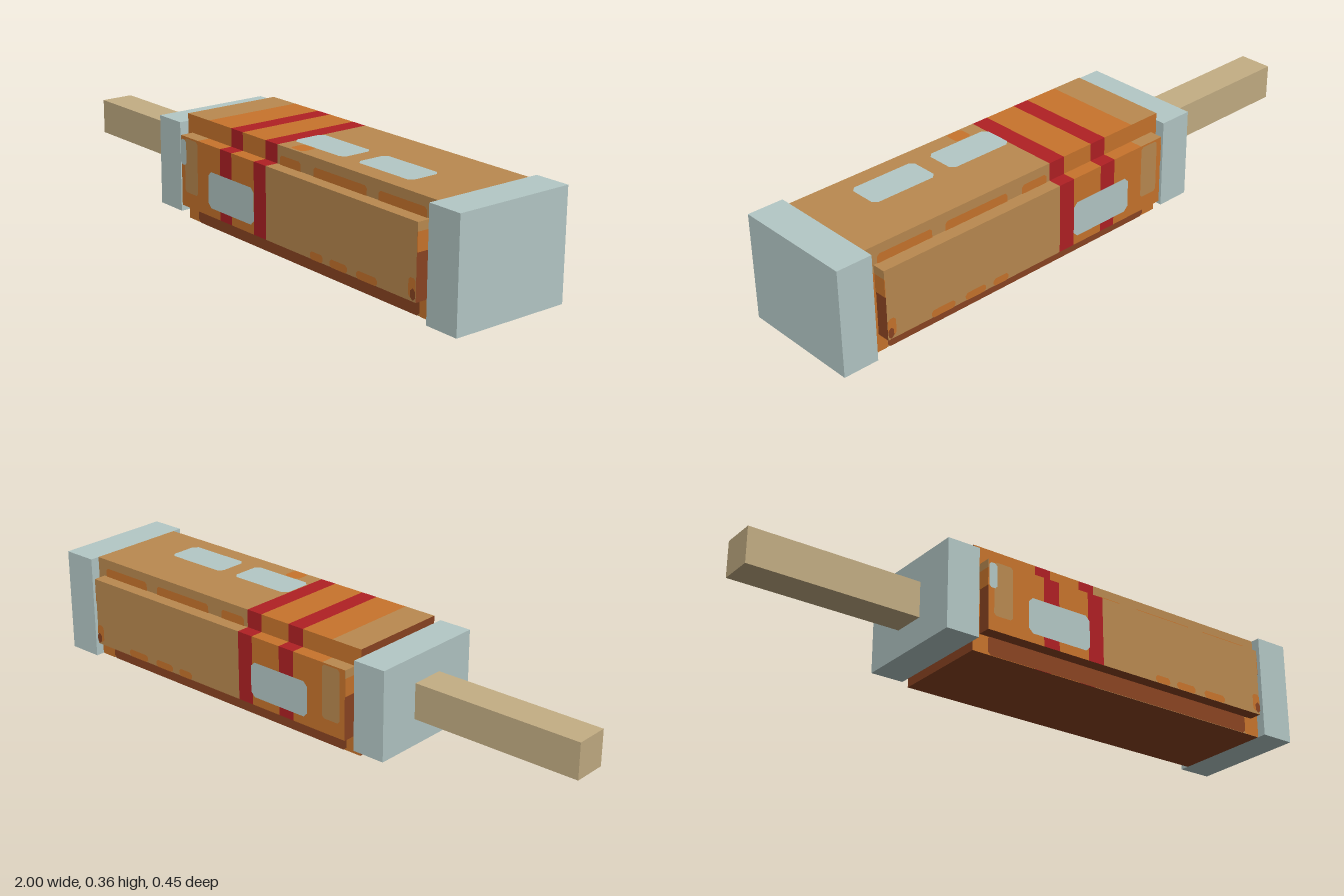
import * as THREE from 'three';

const mat = (name, hex) => {
  const m = new THREE.MeshStandardMaterial({ color: hex });
  m.name = name;
  return m;
};

export function createModel() {
  const tan = mat('tan', 0xba8a50);
  const orange = mat('orange', 0xc8742c);
  const red = mat('red', 0xb02024);
  const brown = mat('brown', 0x8b4422);
  const metal = mat('pale metal', 0xb4c8c6);
  const wood = mat('handle wood', 0xc4ae84);

  const model = new THREE.Group();
  model.name = 'boxedTool';

  // Box given by its limits on each axis
  const box = (parent, name, material, [x0, x1], [y0, y1], [z0, z1]) => {
    const mesh = new THREE.Mesh(new THREE.BoxGeometry(x1 - x0, y1 - y0, z1 - z0), material);
    mesh.position.set((x0 + x1) / 2, (y0 + y1) / 2, (z0 + z1) / 2);
    mesh.name = name;
    parent.add(mesh);
    return mesh;
  };

  // Flat painted patch with clipped corners, facing +z
  const patchGeometry = (w, h, c) => {
    const a = w / 2, b = h / 2;
    const pts = [[-a + c, -b], [a - c, -b], [a, -b + c], [a, b - c], [a - c, b], [-a + c, b], [-a, b - c], [-a, -b + c]];
    return new THREE.ShapeGeometry(new THREE.Shape(pts.map(p => new THREE.Vector2(...p))));
  };
  // side is 1 for the front and -1 for the back
  const sidePatch = (name, material, side, x0, x1, y0, y1, z, c = 0.008) => {
    const mesh = new THREE.Mesh(patchGeometry(x1 - x0, y1 - y0, c), material);
    mesh.position.set((x0 + x1) / 2, (y0 + y1) / 2, side * z);
    if (side < 0) mesh.rotation.y = Math.PI;
    mesh.name = name;
    model.add(mesh);
  };
  const topPatch = (name, material, x0, x1, z0, z1, c) => {
    const mesh = new THREE.Mesh(patchGeometry(x1 - x0, z1 - z0, c), material);
    mesh.position.set((x0 + x1) / 2, 0.357, (z0 + z1) / 2);
    mesh.rotation.x = -Math.PI / 2;
    mesh.name = name;
    model.add(mesh);
  };

  // Handle and end caps
  box(model, 'handle', wood, [-1, -0.41], [0.12, 0.24], [-0.058, 0.058]);
  box(model, 'rearCap', metal, [-0.41, -0.295], [0.03, 0.33], [-0.207, 0.207]);
  box(model, 'frontCap', metal, [0.88, 1], [0, 0.355], [-0.207, 0.207]);

  // Body and side panels are cut into colour bands along x: [start, end, top, sides]
  const bands = [
    [-0.295, -0.18, tan, orange],
    [-0.18, -0.06, orange, orange],
    [-0.06, 0, red, red],
    [0, 0.115, orange, orange],
    [0.115, 0.175, red, red],
    [0.175, 0.88, tan, tan],
  ];
  const banded = (name, [xa, xb], y, z) => {
    const group = new THREE.Group();
    group.name = name;
    for (const [s, e, top, side] of bands) {
      const x = [Math.max(s, xa), Math.min(e, xb)];
      box(group, name + 'Band', [brown, brown, top, brown, side, side], x, y, z);
    }
    model.add(group);
  };
  banded('body', [-0.295, 0.88], [0, 0.355], [-0.175, 0.175]);
  banded('frontPanel', [-0.27, 0.85], [0.06, 0.295], [0.175, 0.22]);
  banded('backPanel', [-0.27, 0.85], [0.06, 0.295], [-0.22, -0.175]);

  for (const s of [1, -1]) {
    // Lower edge and worn paint on the body side
    sidePatch('cornerPaint', orange, s, 0.82, 0.88, 0, 0.27, 0.1765, 0.004);
    sidePatch('lowerEdge', brown, s, -0.24, 0.82, 0, 0.064, 0.177, 0.01);
    for (const [a, b] of [[0.19, 0.29], [0.35, 0.59], [0.64, 0.84]])
      sidePatch('upperWear', orange, s, a, b, 0.28, 0.325, 0.177);

    // Worn paint on the panel face
    sidePatch('bareEnd', tan, s, -0.25, -0.18, 0.11, 0.29, 0.2215);
    for (const [a, b] of [[0.39, 0.45], [0.48, 0.56], [0.6, 0.69]])
      sidePatch('lowerWear', orange, s, a, b, 0.06, 0.085, 0.2215);
    sidePatch('edgeWear', orange, s, 0.82, 0.85, 0.07, 0.13, 0.2215);
    sidePatch('edgeSpot', brown, s, 0.83, 0.85, 0.065, 0.1, 0.223);
    sidePatch('sideLabel', metal, s, -0.12, 0.118, 0.09, 0.21, 0.223, 0.015);

    // Painted upper part of the panel ends
    const z = s > 0 ? [0.175, 0.22] : [-0.22, -0.175];
    for (const [a, b] of [[-0.272, -0.27], [0.85, 0.852]]) {
      box(model, 'panelEndOrange', orange, [a, b], [0.207, 0.267], z);
      box(model, 'panelEndTan', tan, [a, b], [0.267, 0.295], z);
    }
  }
  sidePatch('smallMark', metal, 1, -0.27, -0.24, 0.2, 0.285, 0.223, 0.008);

  // Labels and wear on the top
  topPatch('topLabel', metal, 0.175, 0.41, 0, 0.115, 0.015);
  topPatch('topLabel', metal, 0.47, 0.705, 0, 0.115, 0.015);
  topPatch('topWear', orange, 0.23, 0.29, 0.118, 0.17, 0.008);

  return model;
}
